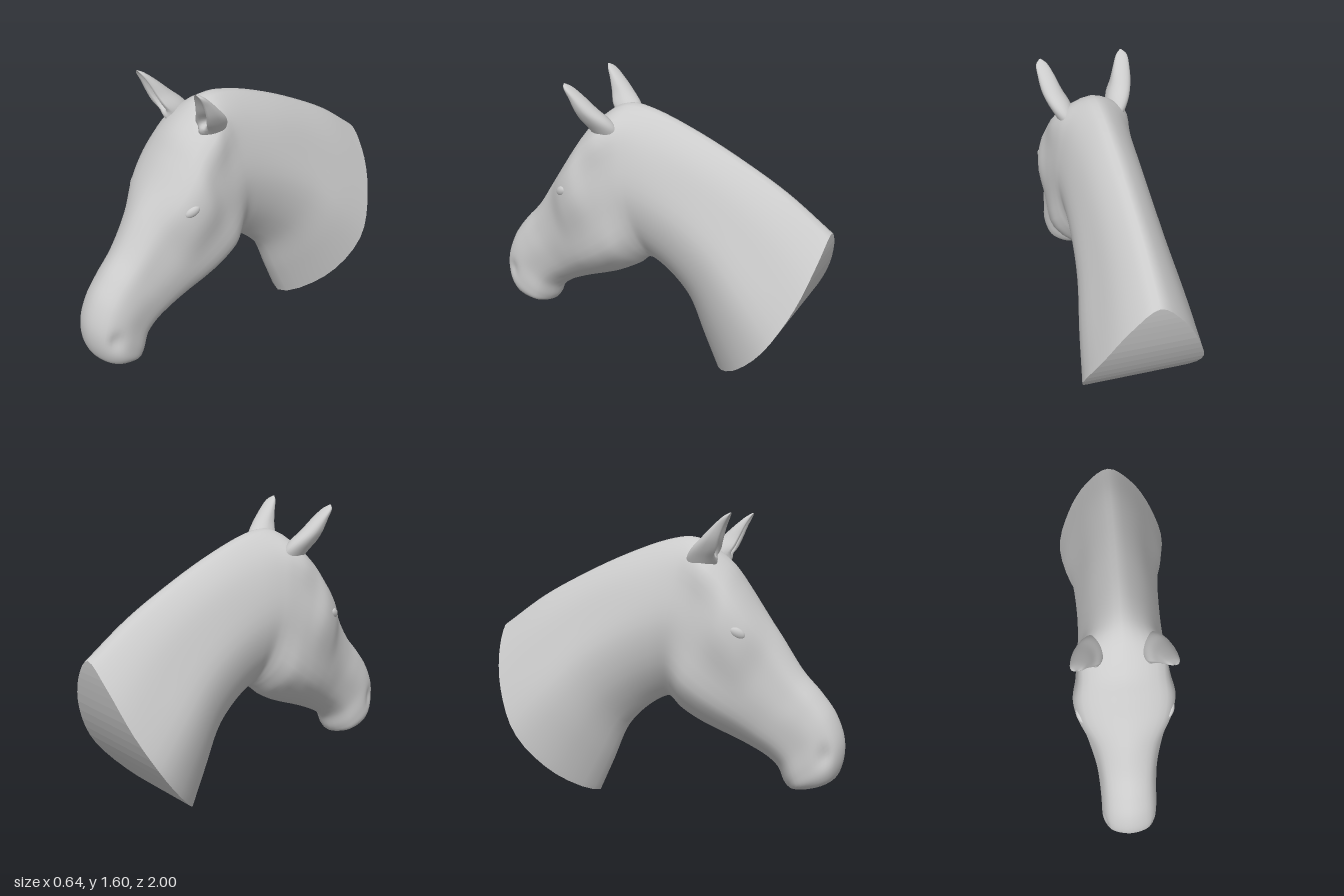
import * as THREE from 'three';

const V = (x, y, z) => new THREE.Vector3(x, y, z);
const material = new THREE.MeshStandardMaterial({ color: 0xcccccc });

// Sections from neck cut to muzzle:
// top z, top y, bottom z, bottom y, then half widths at the four LEVELS.
const NECK = [
  [-1, 0.96, -0.41, 0.005, 0.13, 0.25, 0.322, 0.23],
  [-0.75, 1.13, -0.32, 0.2, 0.115, 0.215, 0.29, 0.205],
  [-0.5, 1.26, -0.23, 0.4, 0.105, 0.19, 0.25, 0.18],
  [-0.25, 1.37, -0.14, 0.5, 0.105, 0.185, 0.23, 0.165],
  [0, 1.455, -0.05, 0.565, 0.11, 0.19, 0.222, 0.155],
  [0.14, 1.475, 0, 0.588, 0.13, 0.198, 0.224, 0.155],
];
const HEAD = [
  [0.22, 1.455, 0.02, 0.59, 0.165, 0.21, 0.23, 0.172],
  [0.3, 1.4, 0.045, 0.58, 0.2, 0.225, 0.238, 0.198],
  [0.39, 1.32, 0.1, 0.53, 0.205, 0.245, 0.248, 0.225],
  [0.46, 1.22, 0.2, 0.47, 0.215, 0.27, 0.25, 0.22],
  [0.54, 1.1, 0.3, 0.425, 0.2, 0.25, 0.235, 0.2],
  [0.65, 0.95, 0.4, 0.385, 0.135, 0.185, 0.205, 0.17],
  [0.77, 0.77, 0.5, 0.34, 0.115, 0.155, 0.17, 0.14],
  [0.87, 0.66, 0.59, 0.29, 0.11, 0.15, 0.155, 0.125],
  [0.95, 0.55, 0.645, 0.24, 0.11, 0.15, 0.15, 0.12],
  [0.998, 0.41, 0.68, 0.165, 0.11, 0.148, 0.155, 0.125],
  [0.99, 0.28, 0.71, 0.135, 0.1, 0.14, 0.145, 0.115],
  [0.95, 0.2, 0.75, 0.13, 0.075, 0.105, 0.105, 0.075],
  [0.85, 0.16, 0.85, 0.16, 0, 0, 0, 0],
];
const LEVELS = [0.1, 0.3, 0.55, 0.82];
const RING = 40;

// One closed, mirrored cross-section; neck sections bow backwards.
function sectionRing([tz, ty, bz, by, ...widths]) {
  const dz = bz - tz, dy = by - ty, len = Math.hypot(dz, dy) || 1;
  const bow = 0.13 * Math.max(0, -tz);
  const at = (x, v) => {
    const o = (bow * 4 * v * (1 - v)) / len;
    return V(x, ty + dy * v - dz * o, tz + dz * v + dy * o);
  };
  const left = widths.map((w, i) => at(w, LEVELS[i]));
  const right = widths.map((w, i) => at(-w, LEVELS[i])).reverse();
  const curve = new THREE.CatmullRomCurve3([at(0, 0), ...left, at(0, 1), ...right], true);
  return Array.from({ length: RING }, (_, j) => curve.getPoint(j / RING));
}

// Smooths a list of rings lengthwise.
function refine(rings, steps) {
  const n = (rings.length - 1) * steps;
  const lines = rings[0].map((_, j) => new THREE.CatmullRomCurve3(rings.map((r) => r[j])));
  return Array.from({ length: n + 1 }, (_, i) => lines.map((c) => c.getPoint(i / n)));
}

// Skins closed rings into a smooth surface.
function skin(rings) {
  const n = rings[0].length, index = [];
  for (let i = 0; i < rings.length - 1; i++) {
    for (let j = 0; j < n; j++) {
      const k = (j + 1) % n;
      const a = i * n + j, b = a + n, c = i * n + k, d = c + n;
      index.push(a, b, c, b, d, c);
    }
  }
  const g = new THREE.BufferGeometry().setFromPoints(rings.flat());
  g.setIndex(index);
  g.computeVertexNormals();
  return g;
}

// Flat facets closing the neck, joining both halves of the rim.
function neckCutGeometry(rim) {
  const pts = [];
  for (let j = 0; j < RING / 2; j++) {
    const a = rim[j], b = rim[j + 1];
    const c = rim[RING - j - 1], d = rim[(RING - j) % RING];
    pts.push(a, b, d, b, c, d);
  }
  const g = new THREE.BufferGeometry().setFromPoints(pts);
  g.computeVertexNormals();
  return g;
}

// Pointed ear, hollowed at the front: centre x, y, z, half width, half depth.
function earGeometry(side) {
  const sections = [
    [0.11, 1.27, 0.22, 0.04, 0.06],
    [0.145, 1.36, 0.25, 0.055, 0.085],
    [0.167, 1.41, 0.275, 0.06, 0.08],
    [0.193, 1.465, 0.315, 0.055, 0.06],
    [0.211, 1.53, 0.362, 0.045, 0.036],
    [0.224, 1.58, 0.405, 0.03, 0.017],
    [0.226, 1.6, 0.428, 0.005, 0.003],
  ];
  const n = 24;
  const rings = sections.map(([x, y, z, rx, rz], s) =>
    Array.from({ length: n }, (_, j) => {
      const a = (-j * Math.PI * 2) / n, c = Math.cos(a);
      const depth = c > 0 && s > 1 ? 1.5 * (c - 0.9 * c ** 6) : c;
      return V(side * x + rx * Math.sin(a), y, z + rz * depth);
    }).reverse()
  );
  return skin(refine(rings, 4));
}

export function createModel() {
  const group = new THREE.Group();
  const add = (name, geometry, mat = material) => {
    const mesh = new THREE.Mesh(geometry, mat);
    mesh.name = name;
    group.add(mesh);
    return mesh;
  };

  // Head and neck in one skin, with nostrils pressed in
  const rings = refine([...NECK, ...HEAD].map(sectionRing), 6);
  const nostril = V(0.125, 0.35, 0.91);
  for (const p of rings.flat()) {
    const d = Math.hypot(Math.abs(p.x) - nostril.x, (p.y - nostril.y) * 0.7, p.z - nostril.z);
    p.x -= Math.sign(p.x) * 0.025 * Math.exp(-((d / 0.035) ** 2));
  }
  add('headAndNeck', skin(rings));

  // Neck cut
  const flat = new THREE.MeshStandardMaterial({ color: 0xcccccc, flatShading: true });
  add('neckCut', neckCutGeometry(rings[0]), flat);

  // Ears and eyes
  const earMaterial = new THREE.MeshStandardMaterial({ color: 0xcccccc, side: THREE.DoubleSide });
  for (const side of [1, -1]) {
    const label = side > 0 ? 'left' : 'right';
    add(label + 'Ear', earGeometry(side), earMaterial);
    const eye = add(label + 'Eye', new THREE.SphereGeometry(0.035, 20, 14));
    eye.scale.set(0.6, 0.8, 1.3);
    eye.position.set(side * 0.234, 0.985, 0.47);
    eye.rotation.set(0.6, -side * 0.35, 0);
  }
  return group;
}
